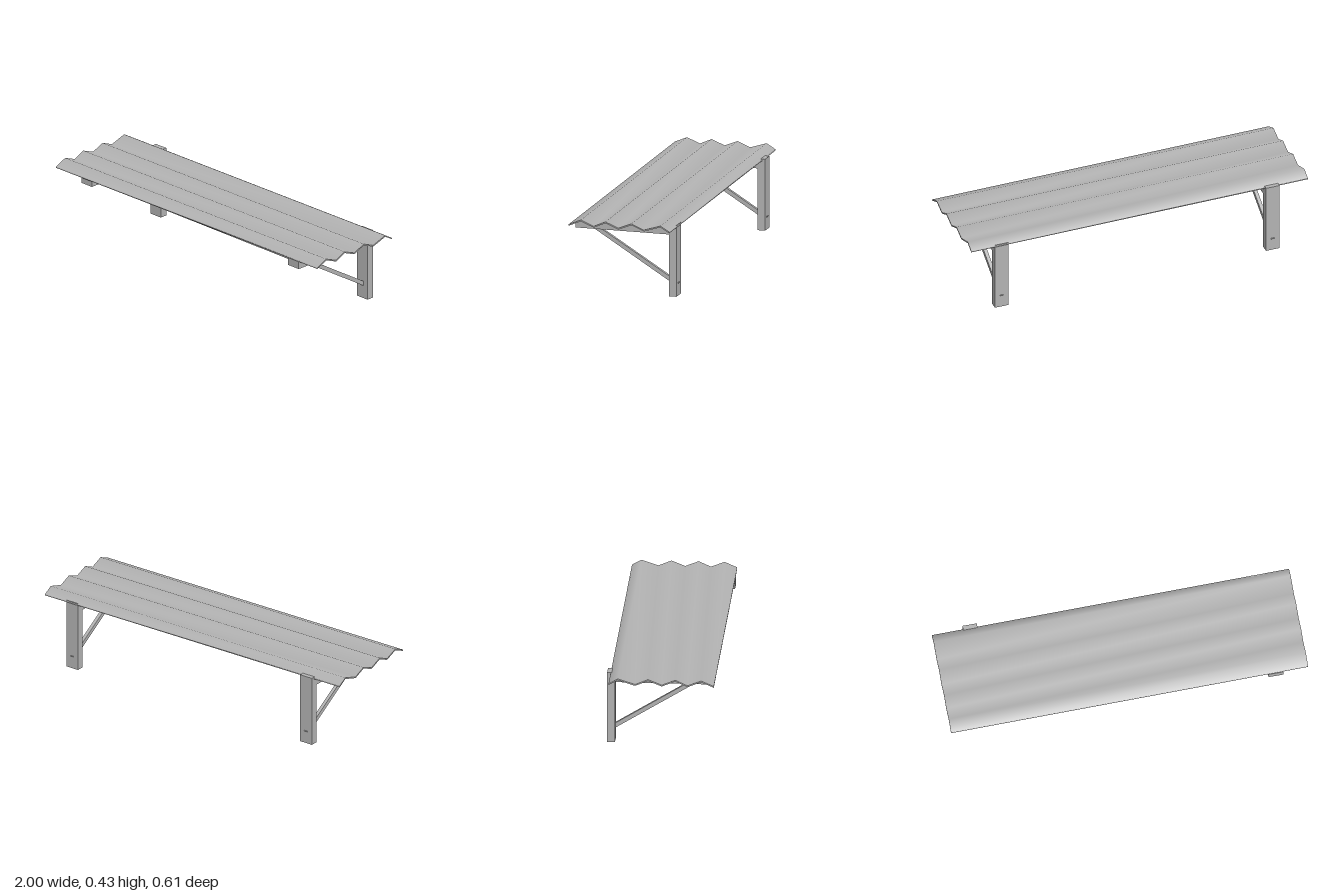
import * as THREE from 'three';

const SKEW = 0.0125; // the roof sheet sits slightly askew on its brackets

// Corrugated sheet: zigzag [z, y] section swept along x
function corrugatedSheet() {
  const top = [[0.29, 0.40], [0.22, 0.43], [0.145, 0.40], [0.078, 0.43], [0.003, 0.40],
    [-0.072, 0.43], [-0.144, 0.40], [-0.239, 0.43], [-0.29, 0.40]];
  const bottom = top.map(([z, y]) => [z, y - 0.008]);
  const ring = [...top, ...bottom.slice().reverse()];
  const n = ring.length, m = top.length;
  const pos = [], index = [];
  const add = (x, [z, y]) => pos.push(x, y, z - SKEW * x);
  const quad = (a, b, c, d) => index.push(a, b, c, a, c, d);

  // skin around the section
  for (const x of [-1, 1]) ring.forEach(p => add(x, p));
  for (let i = 0; i < n; i++) {
    const j = (i + 1) % n;
    quad(i, n + i, n + j, j);
  }
  // end caps with their own vertices
  for (const x of [-1, 1]) {
    const s = pos.length / 3;
    top.forEach(p => add(x, p));
    bottom.forEach(p => add(x, p));
    for (let i = 0; i < m - 1; i++) {
      const t = s + i, b = s + m + i;
      if (x > 0) quad(t, b, b + 1, t + 1);
      else quad(t, t + 1, b + 1, b);
    }
  }
  const g = new THREE.BufferGeometry();
  g.setAttribute('position', new THREE.Float32BufferAttribute(pos, 3));
  g.setIndex(index);
  g.computeVertexNormals();
  return g;
}

export function createModel() {
  const model = new THREE.Group();
  model.name = 'canopy';
  const grey = new THREE.MeshStandardMaterial({ color: 0xb3b3b3 });
  grey.name = 'plain grey';

  // Box given by its limits on each axis
  function box(name, parent, [x0, x1], [y0, y1], [z0, z1]) {
    const mesh = new THREE.Mesh(new THREE.BoxGeometry(x1 - x0, y1 - y0, z1 - z0), grey);
    mesh.position.set((x0 + x1) / 2, (y0 + y1) / 2, (z0 + z1) / 2);
    mesh.name = name;
    parent.add(mesh);
    return mesh;
  }

  const roof = new THREE.Mesh(corrugatedSheet(), grey);
  roof.name = 'corrugatedRoof';
  model.add(roof);

  // Two brackets: wall post, arm and diagonal brace
  for (const [name, x] of [['rightBracket', -0.785], ['leftBracket', 0.818]]) {
    const bracket = new THREE.Group();
    bracket.name = name;
    bracket.position.x = x;
    box('post', bracket, [-0.04, 0.04], [0, 0.404], [-0.299, -0.256]);
    box('arm', bracket, [-0.04, 0.042], [0.35, 0.393], [-0.256, 0.282]);

    // brace runs through the arm and just out of the back of the post
    const from = new THREE.Vector3(0, 0.063, -0.297), to = new THREE.Vector3(0, 0.385, 0.229);
    const brace = new THREE.Mesh(new THREE.BoxGeometry(0.02, 0.023, from.distanceTo(to)), grey);
    brace.name = 'brace';
    brace.position.copy(from).lerp(to, 0.5);
    brace.rotation.x = -Math.atan2(to.y - from.y, to.z - from.z);
    bracket.add(brace);
    model.add(bracket);
  }

  // Rail joining the arms near the front
  box('frontRail', model, [-0.785, 0.818], [0.366, 0.392], [0.225, 0.25]);

  return model;
}
